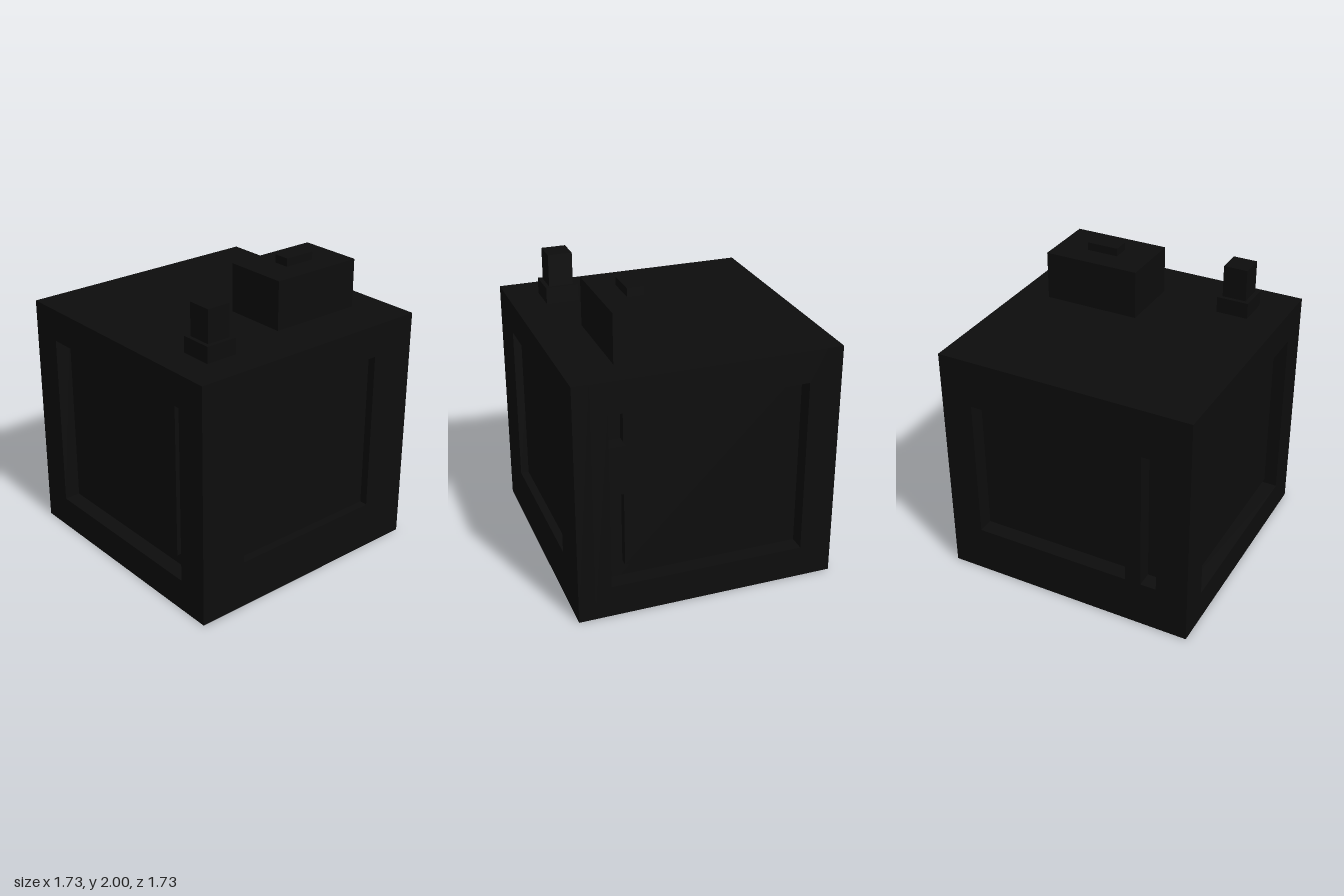
import * as THREE from 'three';

const U = 2 / 18.5; // one grid unit; the model is 18.5 units tall

export function createModel() {
  const group = new THREE.Group();
  const charcoal = new THREE.MeshStandardMaterial({ color: 0x0d0d0d });

  // Box given by its bounds in grid units
  function box(name, x0, x1, y0, y1, z0, z1) {
    const geo = new THREE.BoxGeometry((x1 - x0) * U, (y1 - y0) * U, (z1 - z0) * U);
    const mesh = new THREE.Mesh(geo, charcoal);
    mesh.position.set((x0 + x1) / 2 * U, (y0 + y1) / 2 * U, (z0 + z1) / 2 * U);
    mesh.name = name;
    group.add(mesh);
  }

  // One-unit-thick wall with rectangular openings [a0, a1, y0, y1], turned to face outwards
  function wall(name, halfWidth, angle, openings) {
    const rect = (path, a0, a1, y0, y1) => {
      path.moveTo(a0 * U, y0 * U);
      path.lineTo(a1 * U, y0 * U);
      path.lineTo(a1 * U, y1 * U);
      path.lineTo(a0 * U, y1 * U);
      path.closePath();
      return path;
    };
    const shape = rect(new THREE.Shape(), -halfWidth, halfWidth, 0, 15);
    for (const o of openings) shape.holes.push(rect(new THREE.Path(), ...o));
    const geo = new THREE.ExtrudeGeometry(shape, { depth: U, bevelEnabled: false });
    geo.translate(0, 0, 7 * U);
    geo.rotateY(angle);
    const mesh = new THREE.Mesh(geo, charcoal);
    mesh.name = name;
    group.add(mesh);
  }

  // Body: solid core and four framed walls
  box('bodyCore', -7, 7, 0, 15, -7, 7);
  wall('frontWall', 8, 0, [[-5, 5, 3, 13]]);
  wall('backWall', 8, Math.PI, [[-6, 4, 3, 12], [5, 6, 3, 12]]);
  wall('leftWall', 7, Math.PI / 2, [[-6, 6, 2, 13]]);
  wall('rightWall', 7, -Math.PI / 2, [[-6, 6, 2, 13]]);

  // Panels set into the openings
  box('frontPanel', -5, 5, 3, 13, 7, 7.5);
  box('leftPanel', 7, 7.5, 3, 13, -5, 5);
  box('rightPanel', -7.5, -7, 3, 13, -5, 5);
  box('latch', 7, 8, 8, 11, 5, 6);

  // Chimney on a wider foot
  box('chimneyFoot', -6, -4, 15, 16, 4, 6);
  box('chimney', -5.75, -4.25, 16, 18, 4.25, 5.75);

  // Lidded box with a knob
  box('topBox', 0, 6, 15, 18, 1, 5);
  box('knob', 2, 4, 18, 18.5, 2.5, 3.5);

  return group;
}
